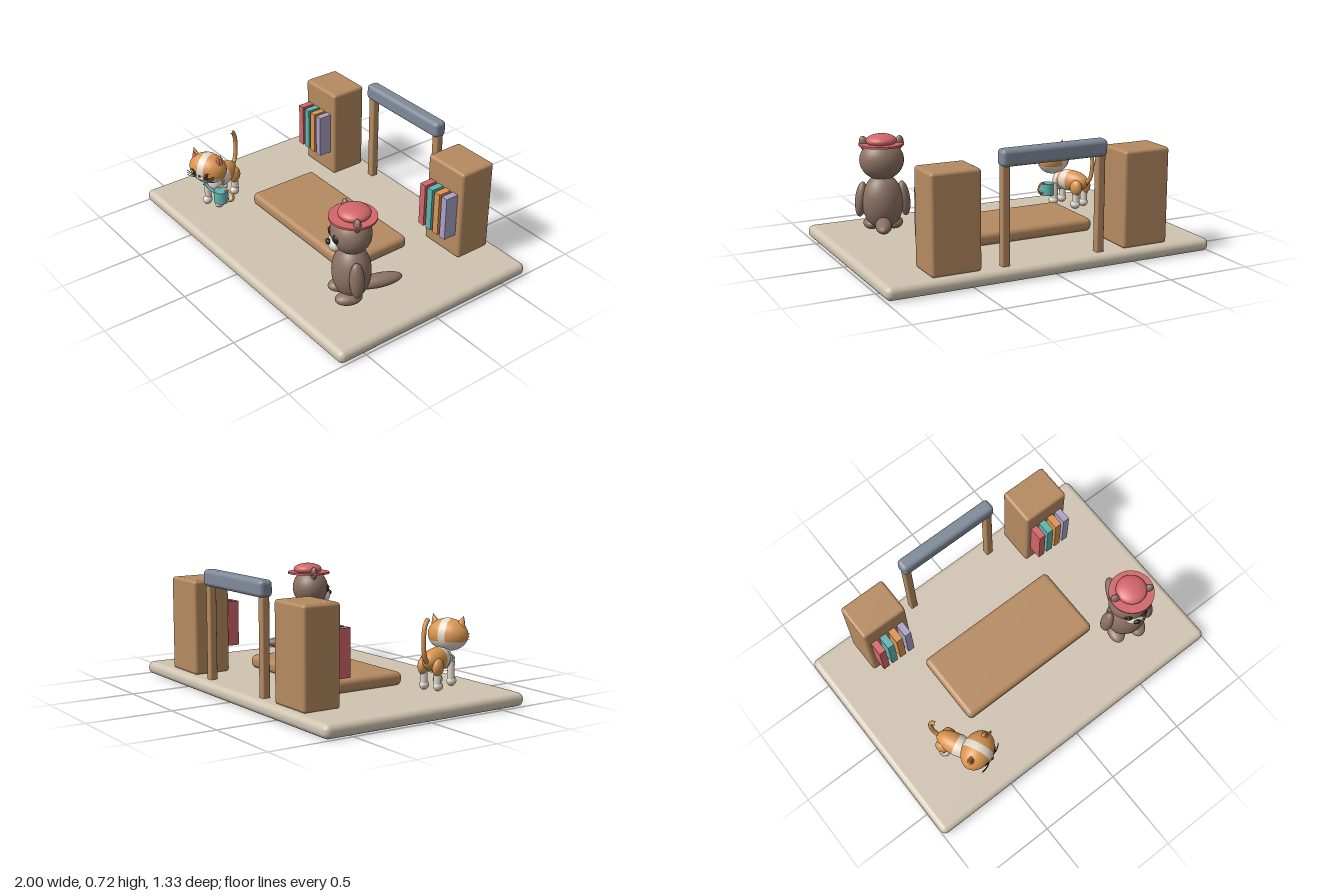
import * as THREE from 'three';
import { RoundedBoxGeometry } from 'three/addons/geometries/RoundedBoxGeometry.js';

const paint = (name, color) => {
  const m = new THREE.MeshStandardMaterial({ color });
  m.name = name;
  return m;
};
const wood = paint('wood', 0xb58a60);
const stone = paint('stone', 0xd0c4b1);
const slate = paint('slate', 0x7f8a98);
const red = paint('red', 0xd2666a);
const teal = paint('teal', 0x62b2ae);
const orange = paint('orange', 0xd9954f);
const lilac = paint('lilac', 0xaba1c6);
const brown = paint('brown', 0x8b7162);
const cream = paint('cream', 0xe2d9cc);
const black = paint('black', 0x222224);

function add(parent, name, geo, mat, pos = [0, 0, 0], rot = [0, 0, 0]) {
  const mesh = new THREE.Mesh(geo, mat);
  mesh.name = name;
  mesh.position.set(...pos);
  mesh.rotation.set(...rot);
  parent.add(mesh);
  return mesh;
}

// Box given by its minimum and maximum corners
function block(parent, name, mat, min, max, radius = 0) {
  const size = max.map((v, i) => v - min[i]);
  const mid = max.map((v, i) => (v + min[i]) / 2);
  const geo = radius ? new RoundedBoxGeometry(...size, 4, radius) : new THREE.BoxGeometry(...size);
  return add(parent, name, geo, mat, mid);
}

// Ellipsoid
function ball(parent, name, mat, pos, radii, rot) {
  const geo = new THREE.SphereGeometry(1, 32, 24).scale(...radii);
  return add(parent, name, geo, mat, pos, rot);
}

function tube(parent, name, mat, points, radius) {
  const curve = new THREE.CatmullRomCurve3(points.map((p) => new THREE.Vector3(...p)));
  return add(parent, name, new THREE.TubeGeometry(curve, 20, radius, 10), mat);
}

function group(parent, name) {
  const g = new THREE.Group();
  g.name = name;
  parent.add(g);
  return g;
}

function buildFurniture(root) {
  block(root, 'base', stone, [-1, 0, -0.667], [1, 0.077, 0.667], 0.035);
  block(root, 'platform', wood, [-0.467, 0.077, -0.23], [0.467, 0.155, 0.225], 0.03);

  const gate = group(root, 'gate');
  block(gate, 'beam', slate, [-0.324, 0.624, -0.627], [0.322, 0.72, -0.545], 0.025);
  for (const s of [-1, 1]) {
    block(gate, 'post', wood, [s * 0.293 - 0.023, 0.07, -0.61], [s * 0.293 + 0.023, 0.64, -0.564], 0.008);
    const shelf = group(root, 'bookcase');
    shelf.position.x = s * 0.585;
    block(shelf, 'cabinet', wood, [-0.145, 0.075, -0.618], [0.145, 0.636, -0.388], 0.018);
    [red, teal, orange, lilac].forEach((mat, i) => {
      const x = -0.092 + i * 0.06;
      block(shelf, 'book', mat, [x - 0.021, 0.224, -0.42], [x + 0.021, 0.492, -0.305]);
    });
  }
}

function buildOtter(root) {
  const otter = group(root, 'otter');
  otter.position.set(0.64, 0, 0.32);
  otter.rotation.y = -0.35;
  ball(otter, 'body', brown, [0, 0.26, 0], [0.122, 0.168, 0.108]);
  ball(otter, 'head', brown, [0, 0.51, 0.005], [0.13, 0.118, 0.112]);
  ball(otter, 'tail', brown, [0, 0.155, -0.155], [0.048, 0.038, 0.14], [0.04, 0, 0]);
  ball(otter, 'muzzle', cream, [0, 0.457, 0.098], [0.055, 0.042, 0.036]);
  ball(otter, 'nose', black, [0, 0.474, 0.132], [0.021, 0.016, 0.014]);
  for (const s of [-1, 1]) {
    ball(otter, 'arm', brown, [s * 0.125, 0.275, 0.01], [0.036, 0.106, 0.042], [0, 0, s * 0.12]);
    ball(otter, 'foot', brown, [s * 0.065, 0.125, 0.035], [0.052, 0.036, 0.078]);
    ball(otter, 'ear', brown, [s * 0.1, 0.61, 0.005], [0.028, 0.044, 0.02], [0, 0, -s * 0.25]);
    ball(otter, 'eye', black, [s * 0.047, 0.508, 0.104], [0.024, 0.025, 0.014], [0, s * 0.4, 0]);
    ball(otter, 'eyeGlint', cream, [s * 0.047 - 0.007, 0.516, 0.116], [0.006, 0.006, 0.004]);
  }
  // Flat hat with a puffed crown
  add(otter, 'hatBrim', new THREE.CylinderGeometry(0.132, 0.132, 0.012, 48), red, [0, 0.607, -0.005]);
  ball(otter, 'hatCrown', red, [0, 0.63, -0.012], [0.09, 0.038, 0.09]);
}

function buildCat(root) {
  const cat = group(root, 'cat');
  cat.position.set(-0.62, 0, 0.37);
  cat.rotation.y = 0.42;

  // Body with a pale saddle band and chest
  ball(cat, 'body', orange, [0, 0.245, -0.05], [0.064, 0.066, 0.125]);
  const saddle = new THREE.SphereGeometry(1, 40, 12, 0, Math.PI * 2, 1.08, 0.45);
  add(cat, 'saddleBand', saddle.rotateX(Math.PI / 2).scale(0.066, 0.068, 0.128), cream, [0, 0.245, -0.05]);
  ball(cat, 'chest', cream, [0, 0.235, 0.04], [0.052, 0.06, 0.045]);
  for (const s of [-1, 1]) {
    ball(cat, 'thigh', orange, [s * 0.045, 0.215, -0.12], [0.03, 0.05, 0.042]);
    for (const z of [-0.12, 0.05]) {
      add(cat, 'leg', new THREE.CylinderGeometry(0.021, 0.021, 0.12, 20), cream, [s * 0.043, 0.165, z]);
      ball(cat, 'paw', cream, [s * 0.043, 0.107, z + 0.008], [0.027, 0.027, 0.033]);
    }
  }
  tube(cat, 'tail', orange, [[0, 0.23, -0.15], [0, 0.28, -0.195], [0, 0.39, -0.21], [0, 0.455, -0.195], [0, 0.485, -0.165]], 0.013);

  // Head: orange cap, pale cheeks and a stripe running over the crown
  const head = group(cat, 'head');
  head.position.set(0, 0.365, 0.094);
  const radii = [0.12, 0.093, 0.09];
  const split = Math.PI * 0.61;
  const cap = new THREE.SphereGeometry(1, 40, 24, 0, Math.PI * 2, 0, split);
  add(head, 'headTop', cap.scale(...radii), orange);
  const jaw = new THREE.SphereGeometry(1, 40, 16, 0, Math.PI * 2, split, Math.PI - split);
  add(head, 'cheeks', jaw.scale(...radii), cream);
  const stripe = new THREE.SphereGeometry(1, 40, 6, 0, Math.PI * 2, Math.PI / 2 - 0.18, 0.36);
  add(head, 'headStripe', stripe.rotateZ(Math.PI / 2).scale(0.121, 0.0945, 0.0915), cream);
  ball(head, 'muzzle', cream, [0, -0.025, 0.076], [0.036, 0.024, 0.02]);
  ball(head, 'nose', black, [0, -0.012, 0.096], [0.009, 0.007, 0.006]);
  for (const s of [-1, 1]) {
    const ear = new THREE.ConeGeometry(0.036, 0.075, 24).scale(1, 1, 0.6);
    add(head, 'ear', ear, orange, [s * 0.085, 0.078, 0], [0, 0, -s * 0.3]);
    const inner = new THREE.ConeGeometry(0.024, 0.055, 24).scale(1, 1, 0.5);
    add(head, 'innerEar', inner, red, [s * 0.085, 0.074, 0.014], [0, 0, -s * 0.3]);
    ball(head, 'eye', black, [s * 0.041, -0.001, 0.084], [0.011, 0.012, 0.007]);
    for (const k of [-1, 0, 1]) {
      tube(head, 'whisker', black, [
        [s * 0.026, -0.022 + k * 0.006, 0.088],
        [s * 0.06, -0.02 + k * 0.011, 0.09],
        [s * 0.095, -0.018 + k * 0.016, 0.082],
      ], 0.0018);
    }
    // Small lashes
    for (const k of [0, 1]) {
      tube(head, 'lash', black, [
        [s * (0.045 + k * 0.006), 0.008, 0.085],
        [s * (0.05 + k * 0.009), 0.014, 0.084],
        [s * (0.054 + k * 0.012), 0.02 - k * 0.004, 0.082],
      ], 0.0018);
    }
  }

  // Watering can with ring handle and spout
  const can = group(cat, 'wateringCan');
  can.position.set(0.077, 0.183, 0.084);
  add(can, 'canBody', new THREE.CylinderGeometry(0.042, 0.045, 0.075, 32), teal);
  add(can, 'canHandle', new THREE.TorusGeometry(0.034, 0.006, 12, 32), orange, [0.056, 0.014, 0]);
  tube(can, 'spout', teal, [[-0.03, 0, 0], [-0.07, 0.022, 0], [-0.108, 0.05, 0]], 0.009);
  add(can, 'spoutRose', new THREE.CylinderGeometry(0.017, 0.01, 0.016, 20), teal, [-0.11, 0.052, 0], [0, 0, 0.95]);
}

export function createModel() {
  const root = new THREE.Group();
  root.name = 'gardenReadingScene';
  buildFurniture(root);
  buildOtter(root);
  buildCat(root);
  return root;
}
